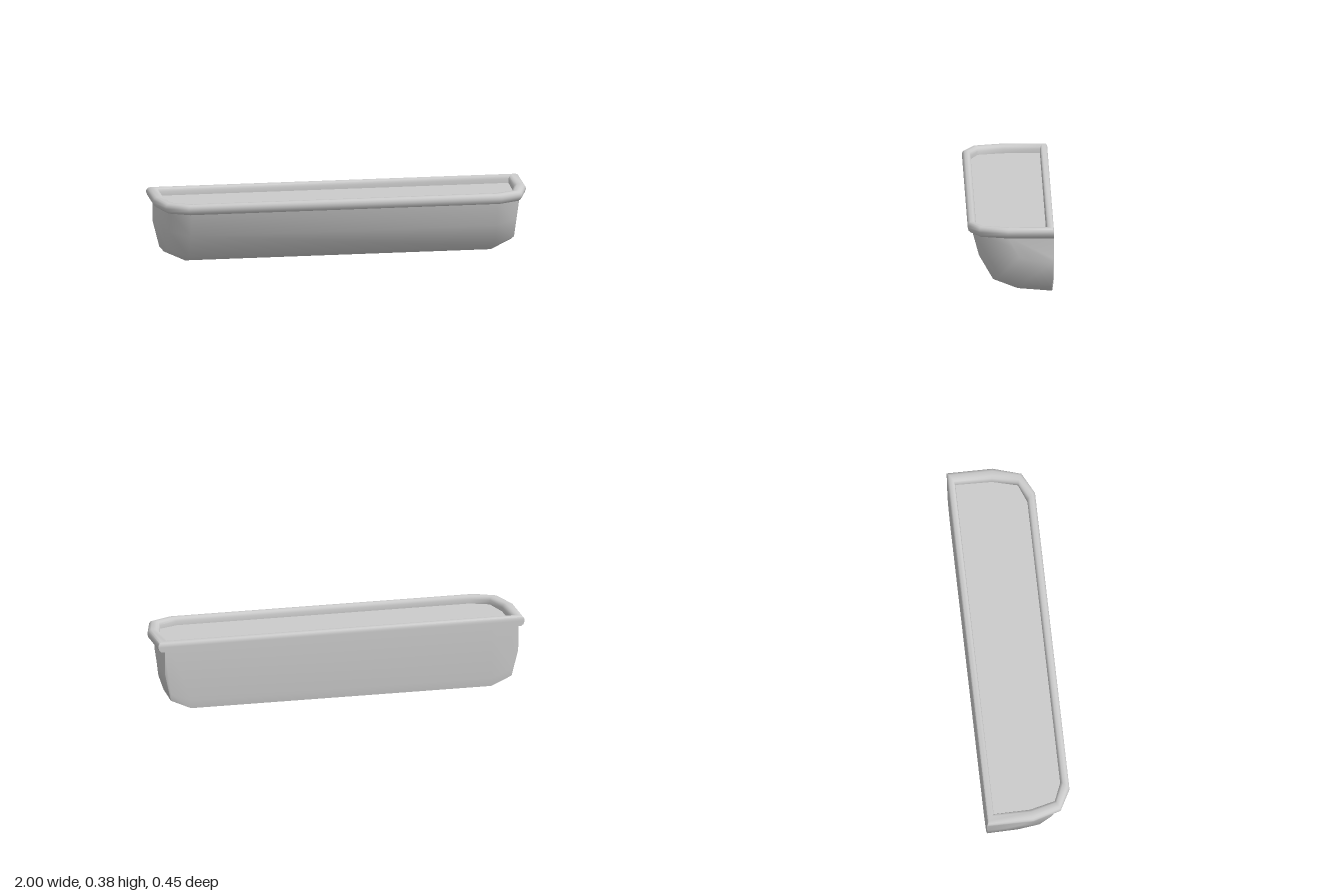
import * as THREE from 'three';
import { toCreasedNormals } from 'three/addons/utils/BufferGeometryUtils.js';

const grey = new THREE.MeshStandardMaterial({ color: 0xcccccc });

// Joins a series of closed rings of [x, y, z] points, optionally capping both ends
function loft(rings, caps, crease) {
  const n = rings[0].length;
  const index = [];
  for (let i = 0; i < rings.length - 1; i++) {
    for (let j = 0; j < n; j++) {
      const k = (j + 1) % n;
      const a = i * n + j, b = i * n + k, c = a + n, d = b + n;
      index.push(a, b, d, a, d, c);
    }
  }
  if (caps) {
    const last = (rings.length - 1) * n;
    for (let j = 1; j < n - 1; j++) {
      index.push(0, j + 1, j);
      index.push(last, last + j, last + j + 1);
    }
  }
  const geometry = new THREE.BufferGeometry();
  geometry.setAttribute('position', new THREE.Float32BufferAttribute(rings.flat(2), 3));
  geometry.setIndex(index);
  return toCreasedNormals(geometry, crease);
}

const BACK = -0.225, BODY_TOP = 0.33;

// Trough body: one side profile, shrunk towards the back and top at each end
function bodyGeometry() {
  const profile = [ // [z, y]
    [0.207, 0.33], [0.17, 0.195], [0.095, 0.065], [-0.035, 0.015],
    [-0.218, 0], [BACK, 0.045], [BACK, 0.33],
  ];
  const ends = [[0.82, 1, 1], [0.93, 0.89, 0.85], [0.965, 0.57, 0.43]]; // x, depth, height
  const stations = [...ends.map(([x, d, h]) => [-x, d, h]).reverse(), ...ends];
  const rings = stations.map(([x, d, h]) => profile.map(([z, y]) =>
    [x, BODY_TOP - (BODY_TOP - y) * h, BACK + (z - BACK) * d]));
  return loft(rings, true, 1.0);
}

// Mirrors the right half of a plan outline into a full counter-clockwise loop
function mirrorOutline(half) {
  return [...half.map(([x, z]) => [-x, z]), ...half.slice().reverse()];
}
const outer = mirrorOutline([[1, BACK], [1, 0.02], [0.955, 0.17], [0.84, 0.23]]);
const inner = mirrorOutline([[0.938, -0.185], [0.934, 0.01], [0.9, 0.145], [0.8, 0.185]]);

// Rounded rim: blends from the outer to the inner outline, flush at the back
function rimGeometry() {
  const profile = [ // [blend, y]
    [0.62, 0.325], [0.3, 0.323], [0.1, 0.333], [0, 0.35], [0.02, 0.362],
    [0.12, 0.372], [0.3, 0.378], [0.7, 0.378], [0.9, 0.371], [1, 0.358], [1, 0.334],
  ];
  const rings = profile.map(([t, y], r) => outer.map(([x, z], i) => {
    const pz = z === BACK && r < 5 ? BACK : THREE.MathUtils.lerp(z, inner[i][1], t);
    return [THREE.MathUtils.lerp(x, inner[i][0], t), y, pz];
  }));
  return loft(rings, false, 1.0);
}

export function createModel() {
  const group = new THREE.Group();
  group.name = 'planterTrough';
  const add = (name, geometry) => {
    const mesh = new THREE.Mesh(geometry, grey);
    mesh.name = name;
    group.add(mesh);
    return mesh;
  };

  add('body', bodyGeometry());
  add('rim', rimGeometry());

  // Flat fill just below the rim
  const shape = new THREE.Shape(inner.map(([x, z]) => new THREE.Vector2(x, -z)));
  const fill = add('fillSurface', new THREE.ShapeGeometry(shape).rotateX(-Math.PI / 2));
  fill.position.y = 0.336;

  return group;
}
